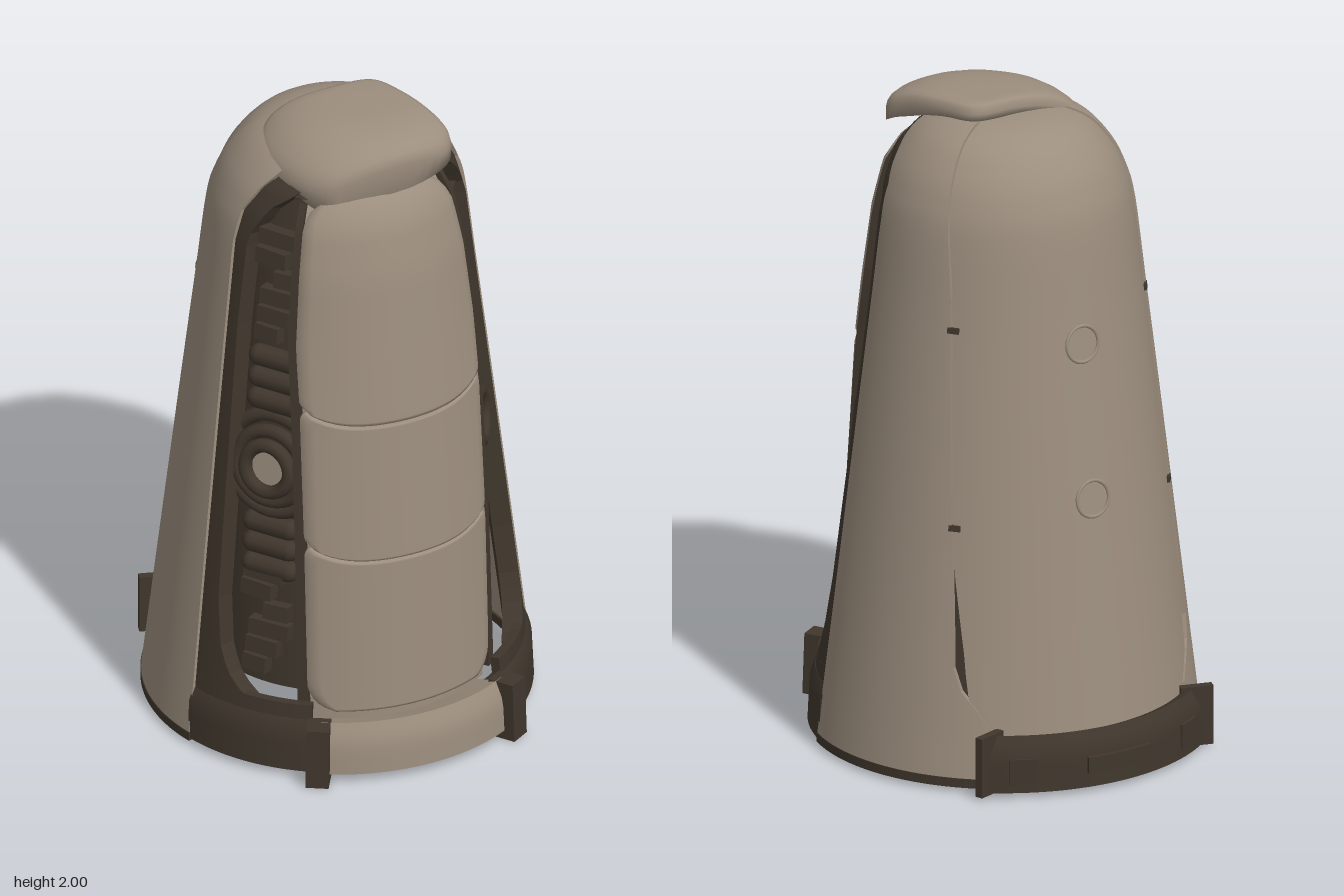
import * as THREE from 'three';
import { mergeVertices } from 'three/addons/utils/BufferGeometryUtils.js';

const D = Math.PI / 180;
const smooth = THREE.MathUtils.smoothstep;
const tan = new THREE.MeshStandardMaterial({ color: 0x9c8e7e });
tan.name = 'warm grey plating';
const dark = new THREE.MeshStandardMaterial({ color: 0x40372d });
dark.name = 'dark brown frame';

// piecewise linear lookup
const tab = pts => y => {
  if (y <= pts[0][0]) return pts[0][1];
  for (let i = 1; i < pts.length; i++) {
    const [a, va] = pts[i - 1], [b, vb] = pts[i];
    if (y <= b) return va + (vb - va) * (y - a) / (b - a);
  }
  return pts[pts.length - 1][1];
};

// outer hull profile: [radius, height]
const hull = new THREE.SplineCurve([[0.577, 0.035], [0.558, 0.2], [0.511, 0.6], [0.464, 1.0], [0.416, 1.4],
  [0.386, 1.65], [0.36, 1.75], [0.32, 1.83], [0.25, 1.905], [0.15, 1.945], [0.01, 1.955]]
  .map(p => new THREE.Vector2(...p)));
const hullR = tab([[0, 0.58], [0.2, 0.558], [1.4, 0.416], [1.65, 0.386], [1.75, 0.36], [1.83, 0.32], [1.9, 0.25], [1.95, 0.14]]);
const fromR = (rOf, y0, y1) => t => { const y = y0 + (y1 - y0) * t; return [rOf(y), y]; };

// curved slab: profile(t) -> [r, y], lo/hi(y, t) -> angles in degrees from the front
function slab(name, mat, prof, lo, hi, thick, { nu = 20, nv = 24, inset = 0, bevel = 0, dy = () => 0 } = {}) {
  const fn = f => (typeof f === 'number' ? () => f : f);
  lo = fn(lo); hi = fn(hi);
  const point = (i, j, depth) => {
    const t = (1 - Math.cos(Math.PI * j / nv)) / 2, e = 0.002;
    const [r, y] = prof(t), a = prof(Math.max(0, t - e)), b = prof(Math.min(1, t + e));
    let nr = b[1] - a[1], ny = a[0] - b[0];
    const l = Math.hypot(nr, ny) || 1;
    nr /= l; ny /= l;
    const ang = (lo(y, t) + (hi(y, t) - lo(y, t)) * i / nu) * D, R = r - nr * depth;
    return [R * Math.sin(ang), y - ny * depth + dy(2 * i / nu - 1, t), R * Math.cos(ang)];
  };
  const pos = [], idx = [], W = nu + 1, N = W * (nv + 1);
  for (const layer of [0, 1]) for (let j = 0; j <= nv; j++) for (let i = 0; i <= nu; i++) {
    const edge = i === 0 || j === 0 || i === nu || j === nv;
    pos.push(...point(i, j, inset + (layer ? thick : edge ? bevel : 0)));
  }
  for (let j = 0; j < nv; j++) for (let i = 0; i < nu; i++) {
    const a = j * W + i, b = a + 1, c = a + W, d = c + 1;
    idx.push(a, b, d, a, d, c, N + a, N + d, N + b, N + a, N + c, N + d);
  }
  // closed rim with its own vertices for sharp edges
  const loop = [];
  for (let i = 0; i < nu; i++) loop.push([i, i + 1], [nv * W + i + 1, nv * W + i]);
  for (let j = 0; j < nv; j++) loop.push([j * W + nu, (j + 1) * W + nu], [(j + 1) * W, j * W]);
  for (const [p, q] of loop) {
    const k = pos.length / 3;
    for (const v of [p, p + N, q + N, q]) pos.push(...pos.slice(v * 3, v * 3 + 3));
    idx.push(k, k + 1, k + 2, k, k + 2, k + 3);
  }
  return named(name, indexed(pos, idx), mat);
}

function indexed(pos, idx) {
  const g = new THREE.BufferGeometry();
  g.setAttribute('position', new THREE.Float32BufferAttribute(pos, 3));
  g.setIndex(idx);
  g.computeVertexNormals();
  return g;
}

function named(name, geo, mat) {
  const m = new THREE.Mesh(geo, mat);
  m.name = name;
  return m;
}

// place a mesh on the hull, leaning with its slope
function at(mesh, angle, r, y, lean = 6.7) {
  mesh.position.set(r * Math.sin(angle * D), y, r * Math.cos(angle * D));
  mesh.rotation.set(-lean * D, angle * D, 0, 'YXZ');
  return mesh;
}

// domed cap from scaled copies of its outline
function makeCap() {
  const outline = new THREE.CatmullRomCurve3([[-0.165, -0.145], [-0.12, -0.135], [0.02, -0.075], [0.14, -0.025], [0.167, 0.01],
    [0.172, 0.1], [0.165, 0.22], [0.152, 0.315], [0.1, 0.345], [-0.065, 0.312], [-0.23, 0.222], [-0.268, 0.165], [-0.283, 0.07],
    [-0.265, -0.05], [-0.22, -0.12]].map(([x, z]) => new THREE.Vector3(x, 0, z)), true, 'centripetal').getPoints(72);
  const cx = -0.05, cz = 0.09, pos = [], idx = [], n = outline.length;
  const top = (x, z) => 2 - 9 * Math.hypot(x - 0.05, z - 0.06) ** 4;
  const rings = [[0.001, 0], [0.2, 0], [0.4, 0], [0.6, 0], [0.75, 0], [0.88, 0], [0.95, 0.004], [0.985, 0.014], [1, 0.03], [1, 1], [0.9, 1]];
  for (const [s, drop] of rings) for (const p of outline) {
    const x = cx + (p.x - cx) * s, z = cz + (p.z - cz) * s;
    const skirt = 0.05 + 0.065 * smooth(p.z, 0.05, 0.25) * (1 - 0.7 * smooth(p.x, -0.05, 0.15));
    pos.push(x, top(x, z) - (drop === 1 ? skirt : drop), z);
  }
  for (let j = 0; j < rings.length - 1; j++) for (let i = 0; i < n - 1; i++) {
    const a = j * n + i, b = a + 1, c = a + n, d = c + 1;
    idx.push(a, b, d, a, d, c);
  }
  const g = mergeVertices(indexed(pos, idx).deleteAttribute('normal'), 1e-5);
  g.computeVertexNormals();
  return named('topCap', g, tan);
}

export function createModel() {
  const root = new THREE.Group(), body = new THREE.Group();
  root.name = 'pod';
  body.name = 'body';
  body.rotation.y = -20 * D;
  root.add(body, makeCap());
  const add = (...m) => body.add(...m);
  const dome = t => hull.getPoint(t).toArray();

  // back panel with two round marks, leaving a wedge gap at the foot of each seam
  const seam = tab([[0.2, 130.5], [0.4, 130.5], [1.5, 124], [1.75, 120], [1.95, 117]]);
  const wedge = tab([[0.17, 11], [0.22, 6], [0.35, 4], [0.68, 0.5]]);
  const backEdge = y => seam(y) + wedge(y);
  add(slab('backPanel', tan, t => dome(0.085 + 0.915 * t), backEdge, y => 360 - backEdge(y), 0.02, { nu: 36, nv: 50, inset: 0.003 }));
  for (const y of [0.86, 1.33]) add(at(named('backMark', new THREE.TorusGeometry(0.055, 0.006, 6, 36), tan), 180, hullR(y) - 0.003, y));

  // front panel of three plates
  const frontR = tab([[0.19, 0.515], [0.7, 0.495], [1.15, 0.462], [1.6, 0.405], [1.75, 0.37], [1.82, 0.33], [1.86, 0.275]]);
  const halfAngle = (y, w) => Math.min(w / frontR(y) / D, 43);
  const plate = (name, y0, y1, dip0, dip1, round0, round1) => {
    const corner = (d, c) => (d < c ? c * (1 - Math.sqrt(Math.max(0, 1 - (1 - d / c) ** 2))) : 0);
    const half = y => halfAngle(y, 0.328) - (corner(y - y0, round0) + corner(y1 - y, round1)) / frontR(y) / D;
    add(slab(name, tan, fromR(frontR, y0, y1), y => -half(y), half, 0.035,
      { nu: 28, bevel: 0.014, dy: (u, t) => u ** 4 * (dip0 * (1 - t) + dip1 * t) }));
  };
  plate('lowerFrontPlate', 0.19, 0.685, 0, 0.05, 0.09, 0.03);
  plate('middleFrontPlate', 0.69, 1.13, 0.05, 0.05, 0.03, 0.03);
  plate('upperFrontPlate', 1.135, 1.86, 0.05, -0.02, 0.03, 0.1);
  add(slab('frontBacking', tan, fromR(frontR, 0.15, 1.84), y => -halfAngle(y, 0.32), y => halfAngle(y, 0.32), 0.03, { inset: 0.03 }));

  // base plates: light at the front, dark with slot details at the back
  add(slab('frontBasePlate', tan, fromR(tab([[0.03, 0.605], [0.13, 0.6], [0.19, 0.575]]), 0.03, 0.19), -31, 31, 0.095, { nu: 30, nv: 8 }));
  add(slab('backBase', dark, fromR(tab([[0.015, 0.622], [0.13, 0.617], [0.19, 0.59]]), 0.015, 0.185), 142, 218, 0.075, { nu: 36, nv: 8 }));
  add(slab('backBaseSlot', dark, fromR(() => 0.632, 0.06, 0.11), 170, 190, 0.03, { nu: 16, nv: 2 }));
  for (const a of [152, 208]) add(slab('backBasePad', dark, fromR(() => 0.625, 0.04, 0.12), a - 4, a + 4, 0.03, { nu: 8, nv: 2 }));

  const shellFront = tab([[0, 75], [1.65, 78.5], [1.75, 77], [1.83, 70], [1.9, 59], [1.945, 50]]);
  const shellBack = y => seam(y) + 12 * (1 - smooth(y, 0.17, 0.36));
  const wallR = tab([[0.15, 0.415], [1.0, 0.375], [1.6, 0.325], [1.85, 0.27]]);
  const frameR = y => hullR(y) - 0.006;

  // dark header arching over the front
  add(slab('frameHeader', dark, t => dome(0.7 + 0.2 * t), y => -shellFront(y) - 2, y => shellFront(y) + 2, 0.04, { nu: 40, inset: 0.012 }));

  for (const s of [-1, 1]) {
    // slab on one side, mirrored for s = -1
    const side = (name, mat, prof, lo, hi, th, opt) => {
      const f = v => (typeof v === 'number' ? () => v : v), l = f(lo), h = f(hi);
      add(s > 0 ? slab(name, mat, prof, l, h, th, opt) : slab(name, mat, prof, (y, t) => -h(y, t), (y, t) => -l(y, t), th, opt));
    };
    side('sideShell', tan, dome, shellFront, shellBack, 0.025, { nu: 28, nv: 64, inset: -0.003 });
    side('shellRim', dark, fromR(() => 0.582, 0.012, 0.04), 75, 142, 0.035, { nu: 28, nv: 2 });
    side('seamLining', dark, fromR(hullR, 0.15, 1.85), y => seam(y) - 4, y => backEdge(y) + 4, 0.01, { nu: 6, inset: 0.03 });

    // opening frame, widening at the foot, and the recess behind it
    const inner = tab([[0.2, 52], [0.26, 61], [0.34, 66], [0.5, 69], [1.4, 72], [1.68, 71], [1.78, 62], [1.85, 45]]);
    side('openingFrame', dark, fromR(frameR, 0.15, 1.85), inner, y => shellFront(y) + 2, 0.06, { nu: 8, nv: 40 });
    side('openingSill', dark, fromR(frameR, 0.15, 0.23), 34, 76, 0.03, { nu: 18, nv: 4 });
    side('recessWall', dark, fromR(wallR, 0.2, 1.87), 32, 80, 0.02, { nu: 16 });
    side('innerJamb', dark, fromR(frontR, 0.18, 1.82), y => halfAngle(y, 0.325), y => halfAngle(y, 0.325) + 3.5, 0.1, { nu: 2, inset: 0.012 });
    side('baseRing', dark, fromR(tab([[0.02, 0.578], [0.15, 0.572], [0.185, 0.555]]), 0.02, 0.185), 30, 76, 0.04, { nu: 24, nv: 6 });

    // base clamps; the back ones are turned towards the sides
    add(at(named('frontClamp', new THREE.BoxGeometry(0.068, 0.19, 0.085), dark), s * 31.5, 0.593, 0.095, 2));
    const backClamp = at(named('backClamp', new THREE.BoxGeometry(0.026, 0.185, 0.1), dark), s * 142.5, 0.6, 0.1, 0);
    backClamp.rotation.y = s * 107 * D;
    add(backClamp);
    for (const y of [0.79, 1.385]) add(at(named('seamPeg', new THREE.BoxGeometry(0.035, 0.018, 0.03), dark), s * (seam(y) + 1), hullR(y) - 0.01, y));

    // porthole with stepped rings
    const a = s * 55.5;
    [0.074, 0.112, 0.155].forEach((r, i) =>
      add(at(named('portholeRing', new THREE.TorusGeometry(r, 0.022, 8, 32), dark), a, wallR(0.94) + 0.045 - i * 0.02, 0.94)));
    add(at(named('portholeLens', new THREE.CircleGeometry(0.06, 28), tan), a, wallR(0.94) + 0.035, 0.94));

    // recess machinery: ribs above and below the porthole, then stepped blocks
    for (let i = 0; i < 3; i++) for (const d of [-1, 1]) {
      const y = 0.94 + d * (0.205 + i * 0.07);
      const rib = at(named('recessRib', new THREE.CapsuleGeometry(0.034, 0.12, 4, 10), dark), a, wallR(y) + 0.008, y);
      rib.rotation.z = Math.PI / 2;
      add(rib);
    }
    for (let i = 0; i < 6; i++) for (const y0 of [0.27, 1.37]) {
      const y = y0 + i * 0.062, w = 0.08 + 0.05 * ((i * 7) % 3) / 2;
      add(at(named('recessBlock', new THREE.BoxGeometry(w, 0.05, 0.05), dark), a + ((i * 5) % 4 - 1.5) * 3, wallR(y) + 0.012, y));
    }
  }
  return root;
}
